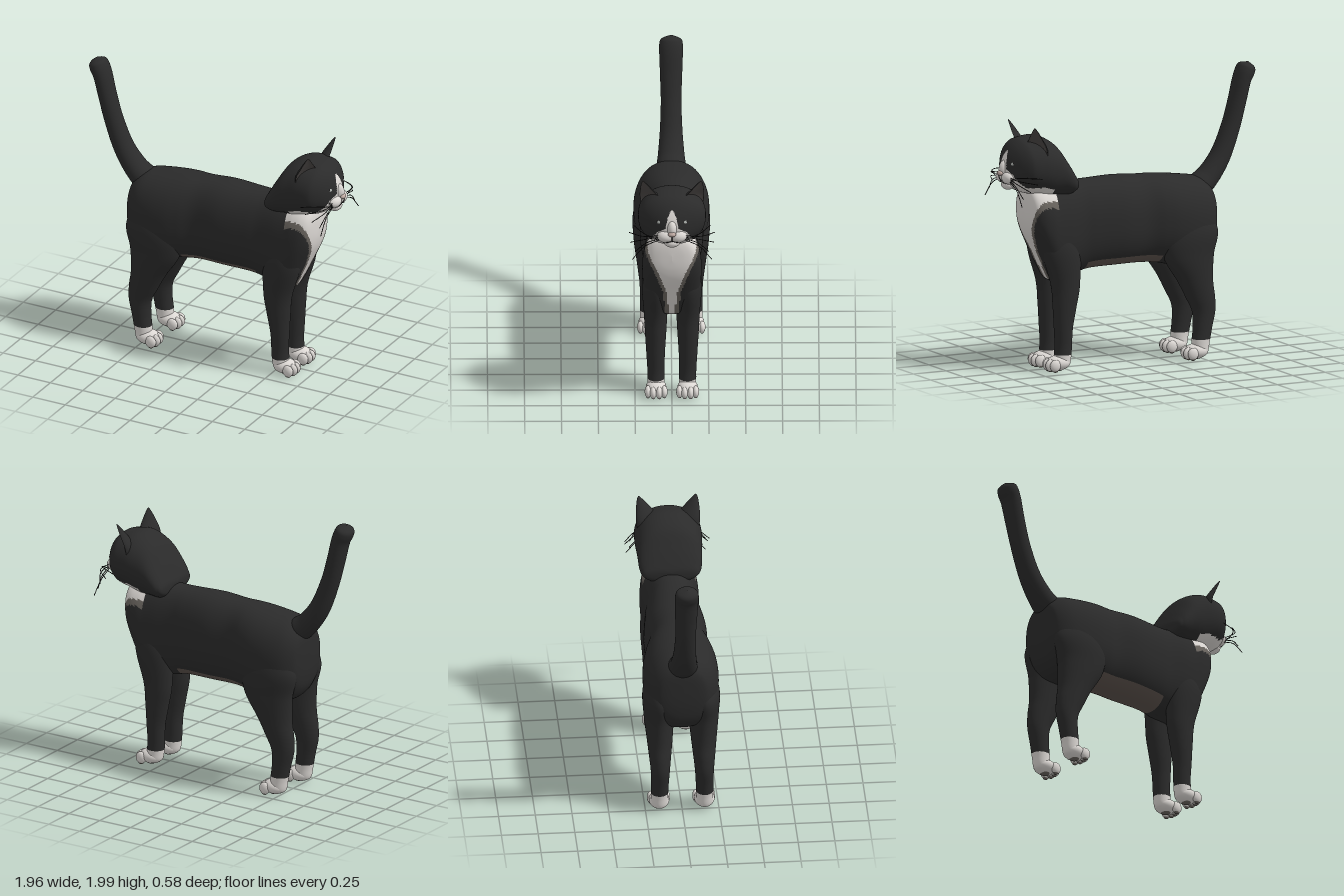
import * as THREE from 'three';

const mat = (name, color, extra = {}) => Object.assign(new THREE.MeshStandardMaterial({ color, ...extra }), { name });
const black = mat('black fur', 0x2b2b2b);
const white = mat('white fur', 0xdcd8d4);
const grey = mat('grey fur edge', 0x6a655f);
const brown = mat('belly skin', 0x5c524c);
const ear = mat('inner ear', 0x4a4644);
const iris = mat('eye', 0xb4b8b4);
const nosePink = mat('nose', 0xc4b0a8);
const dark = mat('dark detail', 0x1c1b1b);

// Piecewise linear lookup in [key, value] pairs with rising keys
function lookup(table, k) {
  if (k <= table[0][0]) return table[0][1];
  for (let i = 1; i < table.length; i++) {
    const [a, va] = table[i - 1], [b, vb] = table[i];
    if (k <= b) return va + (vb - va) * (k - a) / (b - a);
  }
  return table[table.length - 1][1];
}

// Smooth values between the key rings
function refine(rings, n) {
  const out = [], last = rings.length - 1;
  for (let i = 0; i < last; i++) {
    const [a, b, c, d] = [-1, 0, 1, 2].map(k => rings[Math.min(last, Math.max(0, i + k))]);
    for (let s = 0; s < n; s++) {
      const t = s / n;
      out.push(b.map((v, k) => v + 0.5 * t * (c[k] - a[k]
        + t * (2 * a[k] - 5 * v + 4 * c[k] - d[k] + t * (3 * (v - c[k]) + d[k] - a[k])))));
    }
  }
  return [...out, rings[last]];
}

// Skin over rings [x, y, z, radius along u, radius along z]; u is 'x', 'y' or across the path.
// paint(point, angle) picks a material of the list for each patch.
function loft(name, keys, { u, sides = 48, steps = 8, power = 1, front = 1, mats = [black], paint = () => 0 }) {
  const rings = refine(keys, steps), pos = [], buckets = mats.map(() => []);
  const bend = (v) => Math.sign(v) * Math.abs(v) ** power;
  rings.forEach(([x, y, z, ru, rz], i) => {
    let ux = u === 'x' ? 1 : 0, uy = u === 'y' ? 1 : 0;
    if (!u) {
      const p = rings[Math.max(0, i - 1)], q = rings[Math.min(rings.length - 1, i + 1)];
      const l = Math.hypot(q[0] - p[0], q[1] - p[1]);
      ux = -(q[1] - p[1]) / l;
      uy = (q[0] - p[0]) / l;
    }
    for (let j = 0; j < sides; j++) {
      const a = j / sides * Math.PI * 2, c = bend(Math.cos(a));
      const r = Math.max(0, ru) * c * (c > 0 ? front : 1);
      pos.push(x + ux * r, y + uy * r, z + Math.max(0, rz) * bend(Math.sin(a)));
    }
  });
  const mid = new THREE.Vector3();
  for (let i = 0; i < rings.length - 1; i++) for (let j = 0; j < sides; j++) {
    const a = i * sides + j, b = i * sides + (j + 1) % sides, c = a + sides, d = b + sides;
    const avg = k => (pos[a * 3 + k] + pos[b * 3 + k] + pos[c * 3 + k] + pos[d * 3 + k]) / 4;
    mid.set(avg(0), avg(1), avg(2));
    buckets[paint(mid, (j + 0.5) / sides * Math.PI * 2)].push(a, b, c, b, d, c);
  }
  const g = new THREE.BufferGeometry();
  g.setAttribute('position', new THREE.Float32BufferAttribute(pos, 3));
  g.setIndex(buckets.flat());
  let start = 0;
  buckets.forEach((bk, m) => { g.addGroup(start, bk.length, m); start += bk.length; });
  g.computeVertexNormals();
  const mesh = new THREE.Mesh(g, mats);
  mesh.name = name;
  return mesh;
}

// Ring from lower and upper height, for shapes lofted along x
const span = ([x, lo, hi, w]) => [x, (lo + hi) / 2, 0, (hi - lo) / 2, w];

function ball(name, material, [x, y, z], [rx, ry, rz], turn = 0) {
  const m = new THREE.Mesh(new THREE.SphereGeometry(1, 24, 16), material);
  m.name = name;
  m.position.set(x, y, z);
  m.scale.set(rx, ry, rz);
  m.rotation.y = turn;
  return m;
}

function strand(name, points, radius) {
  const curve = new THREE.CatmullRomCurve3(points.map(p => new THREE.Vector3(...p)));
  const m = new THREE.Mesh(new THREE.TubeGeometry(curve, 12, radius, 5), dark);
  m.name = name;
  return m;
}

function paw(name, x, z) {
  const g = new THREE.Group();
  g.name = name;
  g.add(ball('foot', white, [x, 0.062, z], [0.085, 0.052, 0.07]));
  [-0.055, -0.02, 0.02, 0.055].forEach(dz => {
    const tx = x + 0.075 - Math.abs(dz) * 0.45;
    g.add(ball('toe', white, [tx, 0.052, z + dz], [0.04, 0.042, 0.023]));
    g.add(ball('toe pad', grey, [tx, 0.02, z + dz], [0.02, 0.015, 0.014]));
  });
  g.add(ball('sole pad', grey, [x, 0.02, z], [0.035, 0.014, 0.035]));
  return g;
}

export function createModel() {
  const cat = new THREE.Group();
  cat.name = 'cat';

  // Body with white bib, grey bib edge and belly patch
  const bib = [[0.6, 0.014], [0.85, 0.04], [1.0, 0.09], [1.15, 0.16], [1.3, 0.19]];
  cat.add(loft('body', [
    [-0.632, 1.0, 1.04, 0], [-0.625, 0.86, 1.14, 0.12], [-0.6, 0.75, 1.19, 0.18], [-0.53, 0.67, 1.24, 0.23],
    [-0.42, 0.65, 1.26, 0.255], [-0.3, 0.655, 1.275, 0.255], [-0.2, 0.675, 1.285, 0.235], [-0.08, 0.685, 1.29, 0.205],
    [0.1, 0.685, 1.3, 0.215], [0.3, 0.68, 1.295, 0.195], [0.4, 0.66, 1.295, 0.185], [0.52, 0.63, 1.3, 0.195],
    [0.6, 0.62, 1.3, 0.2], [0.66, 0.72, 1.3, 0.2], [0.72, 0.85, 1.29, 0.185], [0.765, 0.95, 1.27, 0.15],
    [0.785, 1.03, 1.22, 0.09], [0.792, 1.11, 1.14, 0],
  ].map(span), {
    u: 'y', sides: 96, steps: 9, power: 0.87, mats: [black, white, grey, brown],
    paint: (p, a) => {
      if (p.x > -0.2 && p.x < 0.36 && Math.abs(a - Math.PI) < 0.75) return 3;
      if (p.x < 0.61) return 0;
      const edge = Math.abs(p.z) - lookup(bib, p.y);
      return edge < 0 ? 1 : edge < 0.025 ? 2 : 0;
    },
  }));

  // Raised tail
  cat.add(loft('tail', [
    [-0.46, 1.1, 0, 0.06, 0.07], [-0.55, 1.165, 0, 0.085, 0.1], [-0.635, 1.24, 0, 0.078, 0.09],
    [-0.725, 1.37, 0, 0.07, 0.077], [-0.8, 1.555, 0, 0.064, 0.07], [-0.85, 1.73, 0, 0.06, 0.075],
    [-0.885, 1.87, 0, 0.06, 0.08], [-0.913, 1.935, 0, 0.064, 0.08], [-0.928, 1.97, 0, 0.052, 0.064],
    [-0.936, 1.993, 0, 0, 0],
  ], { sides: 32 }));

  // Head and neck with the white blaze, cheeks and throat
  const blaze = [[1.28, 0.15], [1.34, 0.125], [1.38, 0.105], [1.42, 0.045], [1.5, 0.028], [1.55, 0]];
  cat.add(loft('head', [
    [0.44, 1.27, 1.31, 0], [0.45, 1.24, 1.34, 0.16], [0.48, 1.21, 1.4, 0.2], [0.52, 1.2, 1.47, 0.215],
    [0.58, 1.2, 1.56, 0.22], [0.65, 1.2, 1.61, 0.225], [0.72, 1.22, 1.63, 0.23], [0.8, 1.24, 1.62, 0.226],
    [0.84, 1.255, 1.61, 0.208], [0.88, 1.275, 1.58, 0.168], [0.91, 1.29, 1.54, 0.122], [0.93, 1.31, 1.5, 0.08],
    [0.943, 1.34, 1.46, 0.045], [0.948, 1.39, 1.41, 0],
  ].map(span), {
    u: 'y', sides: 96, power: 0.93, mats: [black, white],
    paint: p => (p.x > 0.64 && p.y < 1.295 - Math.max(0, 0.72 - p.x) * 0.2)
      || (p.x > 0.84 && p.y < 1.55 && Math.abs(p.z) < lookup(blaze, p.y)) ? 1 : 0,
  }));

  // Muzzle, nose and mouth
  cat.add(ball('nose bridge', white, [0.93, 1.415, 0], [0.045, 0.06, 0.034]));
  cat.add(ball('chin', white, [0.908, 1.305, 0], [0.045, 0.036, 0.055]));
  cat.add(ball('nose', nosePink, [0.968, 1.388, 0], [0.018, 0.018, 0.027]));
  cat.add(ball('cheek spot', black, [0.918, 1.362, 0.088], [0.01, 0.014, 0.016]));
  cat.add(strand('lip cleft', [[0.978, 1.376, 0], [0.974, 1.355, 0], [0.958, 1.333, 0]], 0.0025));

  for (const s of [1, -1]) {
    // Face halves
    cat.add(ball('whisker pad', white, [0.92, 1.357, s * 0.042], [0.05, 0.045, 0.06]));
    cat.add(strand('mouth line', [[0.958, 1.333, 0], [0.957, 1.324, s * 0.03], [0.935, 1.318, s * 0.065]], 0.0025));
    cat.add(ball('eye rim', dark, [0.895, 1.455, s * 0.094], [0.018, 0.035, 0.048], -s * 0.65));
    cat.add(ball('eye', iris, [0.899, 1.455, s * 0.094], [0.02, 0.026, 0.036], -s * 0.65));
    cat.add(ball('pupil', dark, [0.913, 1.456, s * 0.1], [0.005, 0.017, 0.009], -s * 0.65));
    const tips = [[0.83, 1.34, 0.29], [0.88, 1.29, 0.285], [0.92, 1.24, 0.25], [0.94, 1.19, 0.27], [0.78, 1.37, 0.26]];
    tips.forEach(([x, y, z], i) => cat.add(strand('whisker', [
      [0.935, 1.365 - i * 0.009, s * 0.075], [0.935, y / 2 + 0.69, s * (z * 0.5 + 0.05)], [x, y, s * z],
    ], 0.0028)));

    // Ear, hollow towards the front
    const e = loft('ear', [
      [0.073, 0.215, s * 0.029, 0, 0], [0.067, 0.195, s * 0.028, 0.014, 0.017], [0.045, 0.14, s * 0.018, 0.034, 0.049],
      [0.015, 0.07, s * 0.005, 0.05, 0.082], [0, 0, 0, 0.05, 0.085],
    ], { u: 'x', sides: 32, front: -0.35, mats: [black, ear], paint: (p, a) => (Math.cos(a) > 0.25 ? 1 : 0) });
    e.position.set(0.755, 1.5, s * 0.135);
    e.rotation.y = -s * 0.5;
    cat.add(e);

    // Legs ending in white socks
    const sock = top => ({ u: 'x', mats: [black, white], paint: p => (p.y < top ? 1 : 0) });
    cat.add(loft('front leg', [
      [0.58, 1.05, 0.1, 0.06, 0.06], [0.56, 0.85, 0.11, 0.135, 0.093], [0.525, 0.6, 0.11, 0.105, 0.08],
      [0.53, 0.45, 0.11, 0.085, 0.072], [0.54, 0.3, 0.11, 0.066, 0.063], [0.54, 0.18, 0.108, 0.06, 0.058],
      [0.545, 0.1, 0.107, 0.06, 0.058], [0.55, 0.04, 0.107, 0.05, 0.05], [0.55, 0.015, 0.107, 0, 0],
    ].map(([x, y, z, a, b]) => [x, y, s * z, a, b]), sock(0.115)));
    cat.add(paw('front paw', 0.578, s * 0.107));
    cat.add(loft('hind leg', [
      [-0.42, 1.1, 0.12, 0.1, 0.08], [-0.41, 0.9, 0.15, 0.205, 0.11], [-0.4, 0.72, 0.152, 0.185, 0.104],
      [-0.45, 0.55, 0.15, 0.13, 0.088], [-0.49, 0.43, 0.15, 0.106, 0.075], [-0.515, 0.33, 0.15, 0.083, 0.065],
      [-0.505, 0.22, 0.152, 0.068, 0.06], [-0.49, 0.12, 0.154, 0.063, 0.058], [-0.485, 0.04, 0.154, 0.05, 0.05],
      [-0.485, 0.015, 0.154, 0, 0],
    ].map(([x, y, z, a, b]) => [x, y, s * z, a, b]), sock(0.14)));
    cat.add(paw('hind paw', -0.455, s * 0.154));
  }
  return cat;
}
